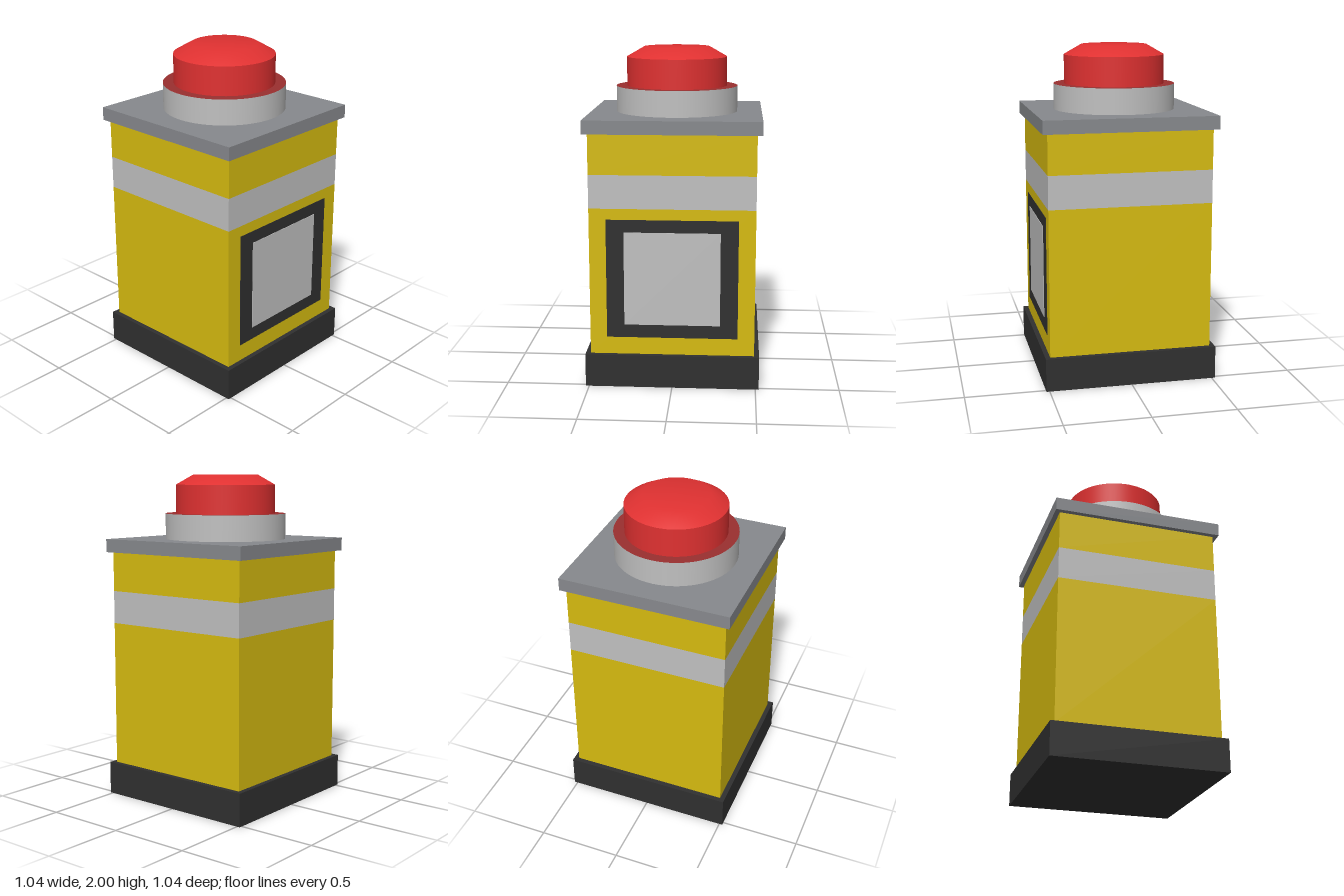
import * as THREE from 'three';

const mat = (name, color) => {
  const m = new THREE.MeshStandardMaterial({ color });
  m.name = name;
  return m;
};

export function createModel() {
  const yellow = mat('yellow', 0xd6bb10);
  const black = mat('black', 0x303030);
  const grey = mat('grey', 0x87898d);
  const silver = mat('silver', 0xc0c0c0);
  const red = mat('red', 0xe03131);
  const darkRed = mat('dark red', 0x9a2f2f);

  const group = new THREE.Group();
  group.name = 'buttonPedestal';
  const add = (name, geometry, material) => {
    const mesh = new THREE.Mesh(geometry, material);
    mesh.name = name;
    group.add(mesh);
    return mesh;
  };

  // Square slab of a given width between two heights
  const slab = (name, width, y0, y1, material) =>
    add(name, new THREE.BoxGeometry(width, y1 - y0, width), material)
      .position.y = (y0 + y1) / 2;

  // Upright round drum between two heights
  const drum = (name, radius, y0, y1, material) =>
    add(name, new THREE.CylinderGeometry(radius, radius, y1 - y0, 64), material)
      .position.y = (y0 + y1) / 2;

  // Pedestal: base, body with a band set flush into it, and lid
  slab('base', 1.04, 0, 0.2, black);
  slab('lowerBody', 0.98, 0.2, 1.09, yellow);
  slab('band', 0.98, 1.09, 1.29, silver);
  slab('upperBody', 0.98, 1.29, 1.53, yellow);
  slab('lid', 1.04, 1.53, 1.61, grey);

  // Framed panel on the left side (+x)
  const plate = (name, x, y0, y1, depth, material) =>
    add(name, new THREE.BoxGeometry(0.004, y1 - y0, depth), material)
      .position.set(x, (y0 + y1) / 2, 0);
  plate('panelFrame', 0.49, 0.305, 1.025, 0.78, black);
  plate('panel', 0.493, 0.385, 0.95, 0.57, silver);

  // Collar with a dark red upper face, and the push button
  drum('collar', 0.37, 1.61, 1.765, [silver, darkRed, silver]);
  drum('buttonSide', 0.305, 1.765, 1.94, red);

  // Softly shaded cap with a sloped rim and a flat middle
  const capProfile = [[0.305, 1.94], [0.2, 2], [0, 2]].map(p => new THREE.Vector2(...p));
  add('buttonCap', new THREE.LatheGeometry(capProfile, 64), red);

  return group;
}
